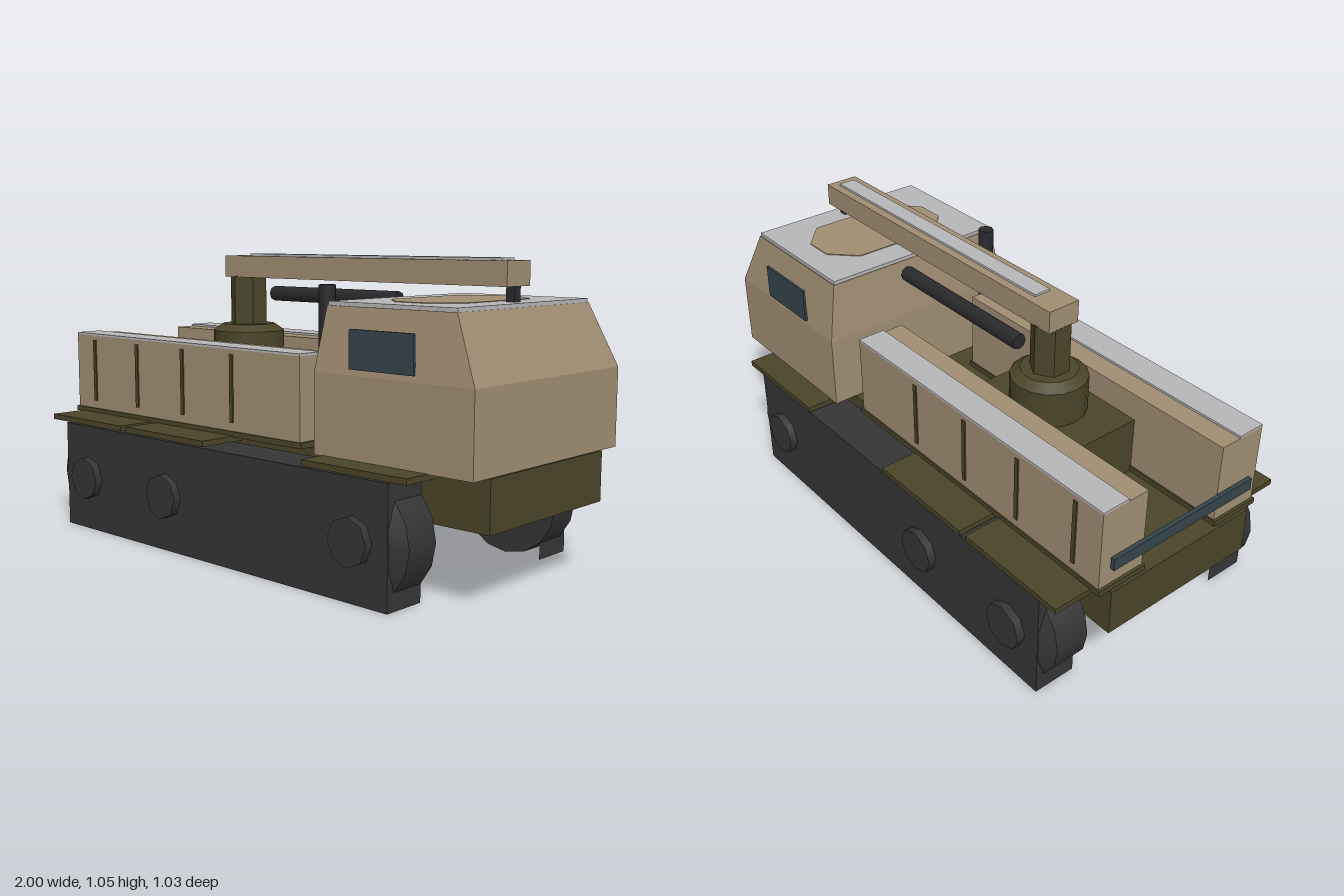
import * as THREE from 'three';

const mat = (name, color, side = THREE.FrontSide) => {
  const m = new THREE.MeshStandardMaterial({ color, side });
  m.name = name;
  return m;
};

export function createModel() {
  const root = new THREE.Group();
  root.name = 'trackedVehicle';
  const tan = mat('tan', 0xa08d72);
  const olive = mat('olive', 0x4a4428, THREE.DoubleSide);
  const dark = mat('darkRubber', 0x353536, THREE.DoubleSide);
  const metal = mat('darkMetal', 0x2a2a2d);
  const pale = mat('paleGrey', 0xb6b6b8);
  const glass = mat('glass', 0x34444b);

  const add = (name, geo, material, x = 0, y = 0, z = 0) => {
    const m = new THREE.Mesh(geo, material);
    m.name = name;
    m.position.set(x, y, z);
    root.add(m);
    return m;
  };
  // Box given by its limits; open lists faces to leave out (0 +x, 1 -x, 2 +y, 3 -y, 4 +z, 5 -z)
  const box = (name, material, x0, x1, y0, y1, z0, z1, open = []) => {
    const g = new THREE.BoxGeometry(x1 - x0, y1 - y0, z1 - z0);
    if (open.length) {
      g.setIndex([...g.index.array].filter((_, i) => !open.includes(Math.floor(i / 6))));
      g.clearGroups();
    }
    return add(name, g, material, (x0 + x1) / 2, (y0 + y1) / 2, (z0 + z1) / 2);
  };
  // Box on one side of the vehicle, between distances a and b from the centre line
  const sideBox = (name, material, s, x0, x1, y0, y1, a, b, open) =>
    box(name, material, x0, x1, y0, y1, s > 0 ? a : -b, s > 0 ? b : -a, open);

  // Hull, open underneath
  box('hull', olive, -1, 1, 0.25, 0.42, -0.312, 0.312, [3]);
  box('rearBar', glass, -1, -0.985, 0.505, 0.55, -0.31, 0.31);

  for (const s of [1, -1]) {
    // Track skirt, open below and towards the hull
    sideBox('trackSkirt', dark, s, -0.87, 0.76, 0, 0.398, 0.33, 0.488, [3, s > 0 ? 5 : 4]);
    for (const x of [-0.73, -0.27, 0.62]) {
      const disc = (name, r0, r1, a, b, n, m) => {
        const d = add(name, new THREE.CylinderGeometry(r1, r0, b - a, n), m, x, 0.2, s * (a + b) / 2);
        d.rotation.x = s * Math.PI / 2;
      };
      disc('wheel', 0.198, 0.198, 0.33, 0.457, 16, dark);
      disc('wheelBevel', 0.198, 0.15, 0.457, 0.486, 16, dark);
      disc('hub', 0.08, 0.08, 0.486, 0.517, 8, dark);
    }
    // Fenders
    for (const [x0, x1] of [[-0.95, -0.52], [-0.49, -0.06], [0.41, 0.835]])
      sideBox('fender', olive, s, x0, x1, 0.404, 0.424, 0.312, 0.495);

    // Side bins with ribs and pale cover
    sideBox('binBase', olive, s, -0.99, 0.272, 0.42, 0.44, 0.16, 0.355);
    sideBox('sideBin', tan, s, -0.98, 0.262, 0.44, 0.727, 0.165, 0.35);
    sideBox('binCover', pale, s, -0.98, 0.262, 0.727, 0.735, 0.245, 0.35);
    for (let i = 0; i < 4; i++) {
      const x = -0.865 + i * 0.265;
      sideBox('binRib', olive, s, x - 0.008, x + 0.008, 0.47, 0.71, 0.349, 0.355);
    }
    // Cab side window
    sideBox('sideWindow', glass, s, 0.53, 0.785, 0.71, 0.835, 0.399, 0.408);
  }

  // Cab: straight lower part and tapered upper part
  box('cabLower', tan, 0.373, 1, 0.422, 0.69, -0.398, 0.398);
  const upper = new THREE.BoxGeometry(0.627, 0.21, 0.796);
  const p = upper.attributes.position;
  for (let i = 0; i < p.count; i++) {
    if (p.getY(i) < 0) continue;
    p.setX(i, p.getX(i) + (p.getX(i) > 0 ? -0.095 : 0.02));
    p.setZ(i, p.getZ(i) * 0.9);
  }
  upper.computeVertexNormals();
  add('cabUpper', upper, tan, 0.6865, 0.795, 0);
  box('roofCover', pale, 0.395, 0.903, 0.898, 0.913, -0.355, 0.355);

  // Octagonal roof patch
  const oct = [[0.5, 0.17], [0.59, 0.26], [0.7, 0.26], [0.8, 0.17],
    [0.8, -0.17], [0.7, -0.26], [0.59, -0.26], [0.5, -0.17]];
  const patch = new THREE.ExtrudeGeometry(
    new THREE.Shape(oct.map(([x, z]) => new THREE.Vector2(x, z))), { depth: 0.004, bevelEnabled: false });
  add('roofPatch', patch.rotateX(-Math.PI / 2), tan, 0, 0.912, 0);

  // Crane pedestal, turntable and column
  const cx = -0.355;
  box('pedestal', olive, -0.605, -0.105, 0.42, 0.63, -0.165, 0.165);
  add('turntable', new THREE.CylinderGeometry(0.135, 0.135, 0.13, 16), olive, cx, 0.695, 0);
  add('turntableBevel', new THREE.CylinderGeometry(0.1, 0.135, 0.025, 16), olive, cx, 0.7725, 0);
  add('column', new THREE.CylinderGeometry(0.07, 0.07, 0.2, 6).toNonIndexed(), olive, cx, 0.865, 0)
    .geometry.computeVertexNormals();

  // Boom, its rest on the cab and the ram beside it
  box('boom', tan, -0.415, 0.87, 0.962, 1.042, -0.063, 0.063);
  box('boomCover', pale, -0.31, 0.83, 1.042, 1.05, -0.032, 0.032);
  box('boomRest', metal, 0.835, 0.867, 0.9, 0.962, -0.016, 0.016);
  add('ram', new THREE.CylinderGeometry(0.028, 0.028, 0.62, 8), metal, 0, 0.897, -0.097)
    .rotation.z = Math.PI / 2;

  // Exhaust stack behind the cab
  add('exhaust', new THREE.CylinderGeometry(0.028, 0.028, 0.54, 8), metal, 0.31, 0.69, 0.27);
  return root;
}
